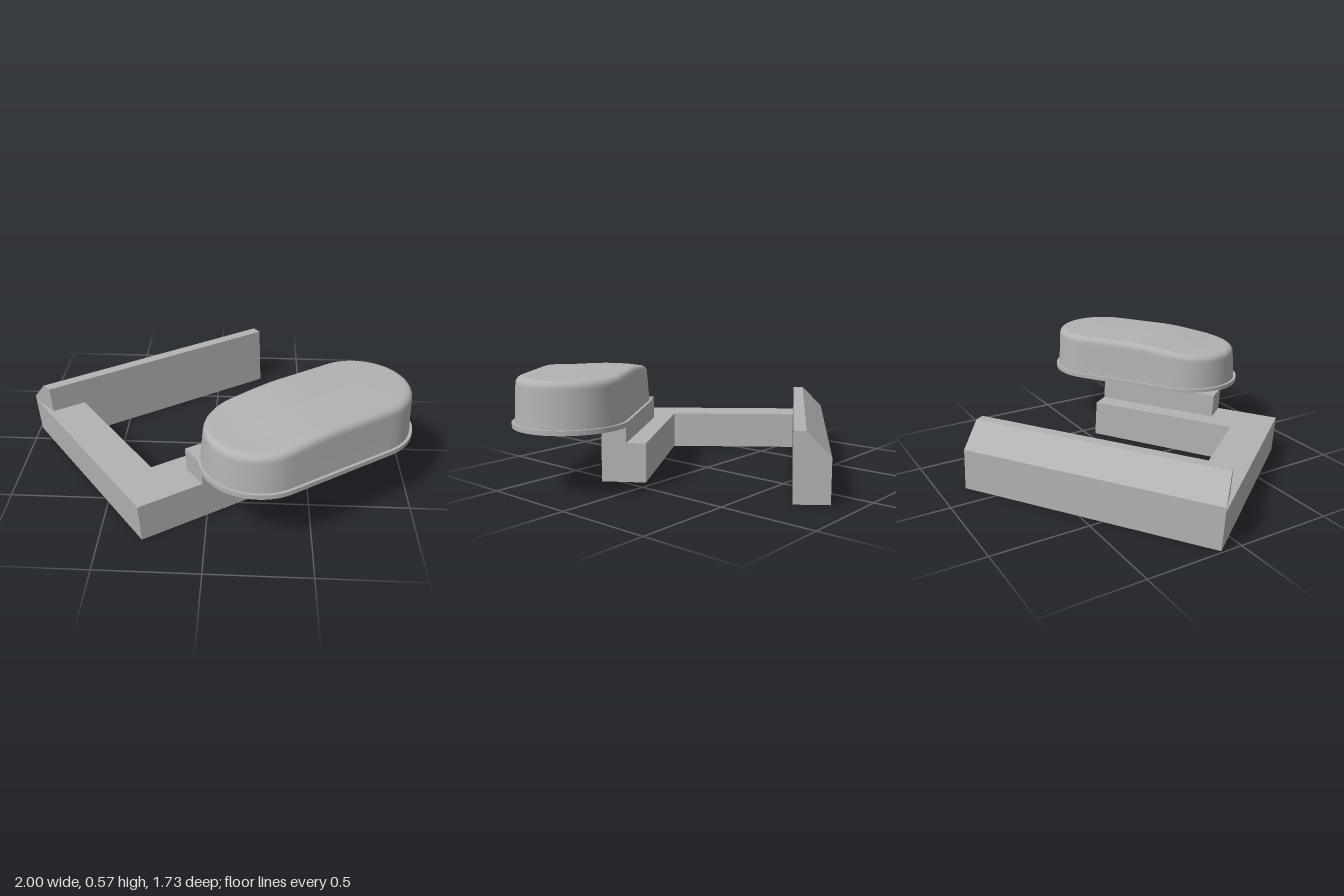
import * as THREE from 'three';

const grey = new THREE.MeshStandardMaterial({ color: 0xb2b2b2 });
grey.name = 'plain grey';

function part(name, geometry) {
  const mesh = new THREE.Mesh(geometry, grey);
  mesh.name = name;
  return mesh;
}

// The frame leans slightly, so every frame vertex is sheared by its height.
function lean(geometry) {
  const p = geometry.attributes.position;
  for (let i = 0; i < p.count; i++) {
    const y = p.getY(i);
    p.setX(i, p.getX(i) - 0.05 * y);
    p.setZ(i, p.getZ(i) + 0.03 * y);
  }
  geometry.computeVertexNormals();
  return geometry;
}

// Upright prism over a plan outline given as [x, z] pairs.
function prism(plan, y0, y1) {
  const shape = new THREE.Shape(plan.map(([x, z]) => new THREE.Vector2(x, -z)));
  const g = new THREE.ExtrudeGeometry(shape, { depth: y1 - y0, bevelEnabled: false });
  return lean(g.rotateX(-Math.PI / 2).translate(0, y0, 0));
}

// Chamfered bar: profile across the width, stretched between four plan corners.
function chamferedBar() {
  const profile = [[0, 0], [1, 0], [1, 0.34], [0.68, 0.34], [0, 0.22]];
  const shape = new THREE.Shape(profile.map(([f, y]) => new THREE.Vector2(f, y)));
  const g = new THREE.ExtrudeGeometry(shape, { depth: 1, bevelEnabled: false });
  const outerR = new THREE.Vector2(0.158, -0.867), innerR = new THREE.Vector2(0.262, -0.727);
  const outerL = new THREE.Vector2(-0.99, -0.106), innerL = new THREE.Vector2(-0.863, 0.017);
  const p = g.attributes.position;
  for (let i = 0; i < p.count; i++) {
    const f = p.getX(i), t = p.getZ(i);
    const a = outerR.clone().lerp(innerR, f), b = outerL.clone().lerp(innerL, f);
    a.lerp(b, t);
    p.setXYZ(i, a.x, p.getY(i), a.y);
  }
  return lean(g);
}

const LENGTH = 0.573; // distance between the two round ends of the cap

// Flat oval plate for the rim under the cap.
function ovalPlate(r, y0, y1) {
  const s = new THREE.Shape();
  s.absarc(LENGTH, 0, r, -Math.PI / 2, Math.PI / 2, false);
  s.absarc(0, 0, r, Math.PI / 2, Math.PI * 1.5, false);
  const g = new THREE.ExtrudeGeometry(s, { depth: y1 - y0, bevelEnabled: false, curveSegments: 32 });
  return g.rotateX(-Math.PI / 2).translate(0, y0, 0);
}

// Rounded cap: nested oval rings, with the top dipping toward one end.
function ovalCap() {
  const outline = [];
  const N = 28;
  for (let i = 0; i < N; i++) outline.push([LENGTH, -Math.PI / 2 + Math.PI * i / N]);
  for (let i = 0; i < N; i++) outline.push([LENGTH * (1 - i / N), Math.PI / 2]);
  for (let i = 0; i < N; i++) outline.push([0, Math.PI / 2 + Math.PI * i / N]);
  for (let i = 0; i < N; i++) outline.push([LENGTH * i / N, Math.PI * 1.5]);

  // Each ring is [radius, height on wall or null, drop below the top].
  const rings = [[0.27, 0.34, 0], [0.264, 0.42, 0], [0.259, null, 0.05], [0.258, null, 0.04]];
  for (let k = 1; k <= 6; k++) {
    const a = (k / 6) * Math.PI / 2;
    rings.push([0.223 + 0.035 * Math.cos(a), null, 0.04 - 0.036 * Math.sin(a)]);
  }
  for (let k = 1; k <= 8; k++) rings.push([0.223 * (1 - k / 8), null, 0.004 * (1 - k / 8)]);

  const pos = [], index = [], M = outline.length;
  for (const [r, wall, drop] of rings) {
    for (const [cx, a] of outline) {
      const s = cx + r * Math.cos(a);
      const top = 0.53 + 0.038 * THREE.MathUtils.smoothstep(s, -0.2, 0.27);
      pos.push(s, wall ?? top - drop, -r * Math.sin(a));
    }
  }
  for (let j = 0; j < rings.length - 1; j++) {
    for (let i = 0; i < M; i++) {
      const a = j * M + i, b = j * M + (i + 1) % M;
      index.push(a, b, b + M, a, b + M, a + M);
    }
  }
  const g = new THREE.BufferGeometry();
  g.setAttribute('position', new THREE.Float32BufferAttribute(pos, 3));
  g.setIndex(index);
  g.computeVertexNormals();
  return g;
}

export function createModel() {
  const model = new THREE.Group();
  model.name = 'bracketWithOvalCap';

  // Low frame: side connector and front arm in one L-shaped piece.
  model.add(part('lowFrame', prism([
    [-0.99, -0.106], [-0.295, 0.794], [0.555, 0.235],
    [0.43, 0.045], [-0.27, 0.49], [-0.71, -0.08],
  ], 0, 0.2)));

  // Raised block on the front arm that carries the cap.
  model.add(part('raisedBlock', prism([
    [-0.095, 0.495], [-0.01, 0.607], [0.555, 0.235], [0.485, 0.129],
  ], 0.2, 0.325)));

  model.add(part('rearBar', chamferedBar()));

  // Short peg under the cap.
  const peg = part('peg', new THREE.CylinderGeometry(0.095, 0.095, 0.09, 40));
  peg.position.set(0.383, 0.277, 0.597);
  model.add(peg);

  // Cap and rim, turned in line with the arm.
  const cap = new THREE.Group();
  cap.name = 'cap';
  cap.add(part('capRim', ovalPlate(0.284, 0.32, 0.343)), part('capShell', ovalCap()));
  cap.position.set(0.239, 0, 0.576);
  cap.rotation.y = Math.atan2(0.317, 0.477);
  model.add(cap);

  return model;
}
